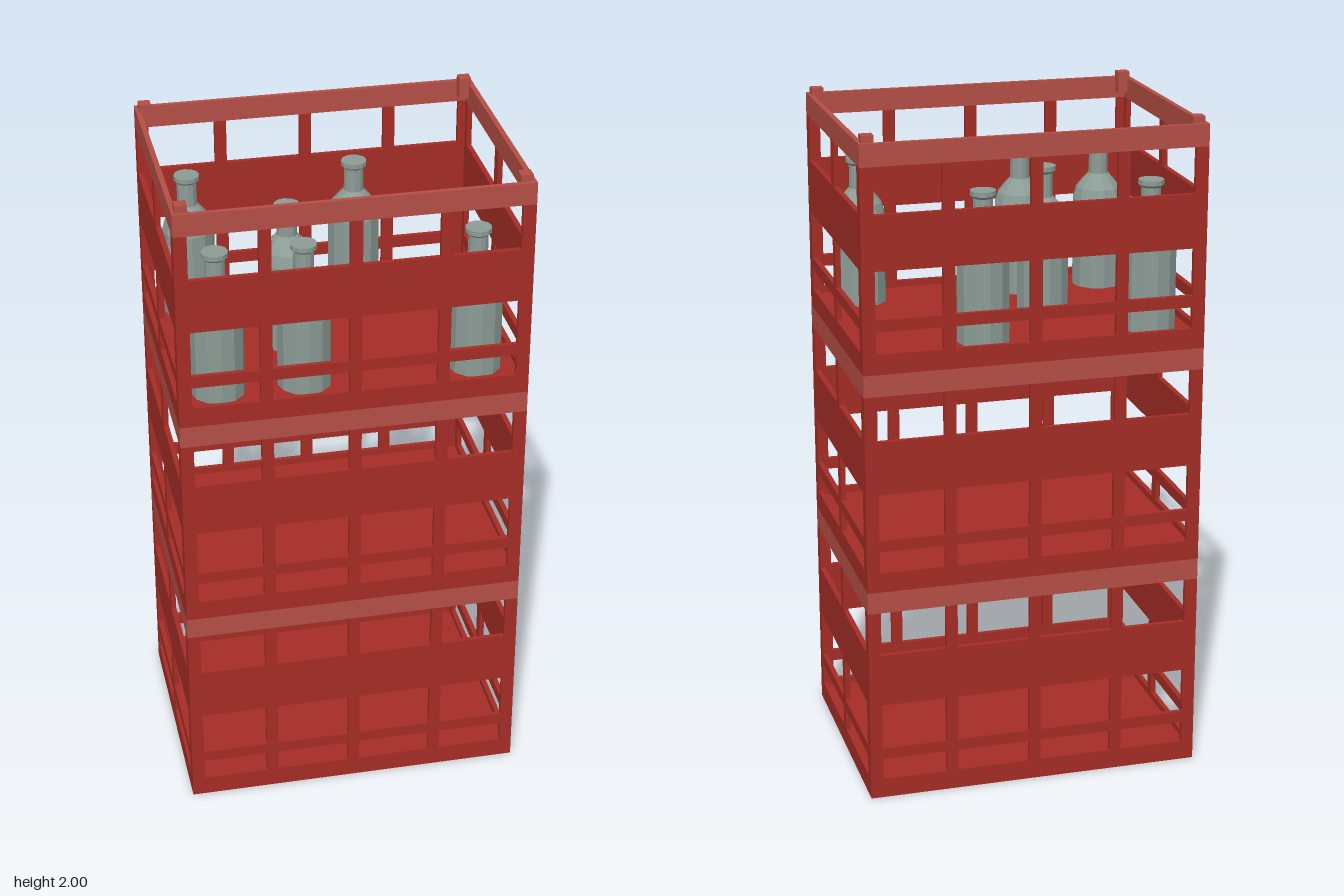
import * as THREE from 'three';

const W = 1.01, D = 0.74, T = 0.015; // crate width, depth and wall thickness
const PITCH = 0.66;                  // height of one crate
const PANEL_TOP = 0.46, RIM_BOTTOM = 0.595;

const red = new THREE.MeshStandardMaterial({ color: 0xa52d25 });
red.name = 'crateRed';
const paleRed = new THREE.MeshStandardMaterial({ color: 0xb54f45 });
paleRed.name = 'rimRed';
const grey = new THREE.MeshStandardMaterial({ color: 0x8d9c96, flatShading: true });
grey.name = 'bottleGrey';

function box(name, mat, w, h, d, x, y, z) {
  const m = new THREE.Mesh(new THREE.BoxGeometry(w, h, d), mat);
  m.name = name;
  m.position.set(x, y, z);
  return m;
}

function rect(target, x0, x1, y0, y1) {
  target.moveTo(x0, y0);
  target.lineTo(x1, y0);
  target.lineTo(x1, y1);
  target.lineTo(x0, y1);
  target.closePath();
  return target;
}

// One slatted wall facing +z, its outer face on z = 0; posts are [from, to] in x
function makeWall(name, length, posts) {
  const wall = new THREE.Group();
  wall.name = name;
  const half = length / 2;
  const shape = rect(new THREE.Shape(), -half, half, 0, PANEL_TOP);
  for (let i = 0; i < posts.length - 1; i++) {
    for (const [y0, y1] of [[0.06, 0.125], [0.16, 0.3]]) {
      shape.holes.push(rect(new THREE.Path(), posts[i][1], posts[i + 1][0], y0, y1));
    }
  }
  const geo = new THREE.ExtrudeGeometry(shape, { depth: T, bevelEnabled: false });
  geo.translate(0, 0, -T);
  const panel = new THREE.Mesh(geo, red);
  panel.name = 'slattedPanel';
  wall.add(panel);
  const postH = RIM_BOTTOM - PANEL_TOP;
  for (const [a, b] of posts) {
    wall.add(box('upperPost', red, b - a, postH, T, (a + b) / 2, PANEL_TOP + postH / 2, -T / 2));
  }
  const rimH = PITCH - RIM_BOTTOM;
  wall.add(box('rim', paleRed, length, rimH, T, 0, RIM_BOTTOM + rimH / 2, -T / 2));
  return wall;
}

function makeCrate() {
  const crate = new THREE.Group();
  crate.name = 'crate';
  const longPosts = [[-W / 2, -0.467], [-0.272, -0.237], [-0.0175, 0.0175], [0.237, 0.272], [0.467, W / 2]];
  const sideHalf = D / 2 - T;
  const sidePosts = [[-sideHalf, -0.331], [-0.0175, 0.0175], [0.331, sideHalf]];
  const walls = [
    ['frontWall', W, longPosts, 0, D / 2, 0],
    ['backWall', W, longPosts, 0, -D / 2, Math.PI],
    ['leftWall', sideHalf * 2, sidePosts, W / 2, 0, Math.PI / 2],
    ['rightWall', sideHalf * 2, sidePosts, -W / 2, 0, -Math.PI / 2],
  ];
  for (const [name, length, posts, x, z, turn] of walls) {
    const wall = makeWall(name, length, posts);
    wall.position.set(x, 0, z);
    wall.rotation.y = turn;
    crate.add(wall);
  }
  crate.add(box('floor', red, W - 2 * T, 0.04, D - 2 * T, 0, 0.02, 0));
  // Stacking pegs inside the four corners
  for (const x of [-0.478, 0.478]) {
    for (const z of [-0.339, 0.339]) {
      crate.add(box('stackingPeg', paleRed, 0.035, 0.065, 0.035, x, 0.6475, z));
    }
  }
  return crate;
}

// Faceted bottle standing on y = 0
const bottleProfile = [
  [0, 0], [0.078, 0], [0.078, 0.27], [0.068, 0.305], [0.048, 0.33], [0.03, 0.35],
  [0.029, 0.42], [0.038, 0.428], [0.038, 0.442], [0, 0.442],
].map(([r, y]) => new THREE.Vector2(r, y));
const bottleGeo = new THREE.LatheGeometry(bottleProfile, 12);

export function createModel() {
  const model = new THREE.Group();
  model.name = 'stackedBottleCrates';
  for (let i = 0; i < 3; i++) {
    const crate = makeCrate();
    crate.position.y = i * PITCH;
    model.add(crate);
  }
  // Bottles in the top crate
  const spots = [[-0.375, -0.25], [0.125, -0.25], [-0.125, 0], [-0.375, 0.25], [-0.125, 0.25], [0.375, 0.25]];
  for (const [x, z] of spots) {
    const bottle = new THREE.Mesh(bottleGeo, grey);
    bottle.name = 'bottle';
    bottle.position.set(x, 2 * PITCH + 0.04, z);
    model.add(bottle);
  }
  return model;
}
